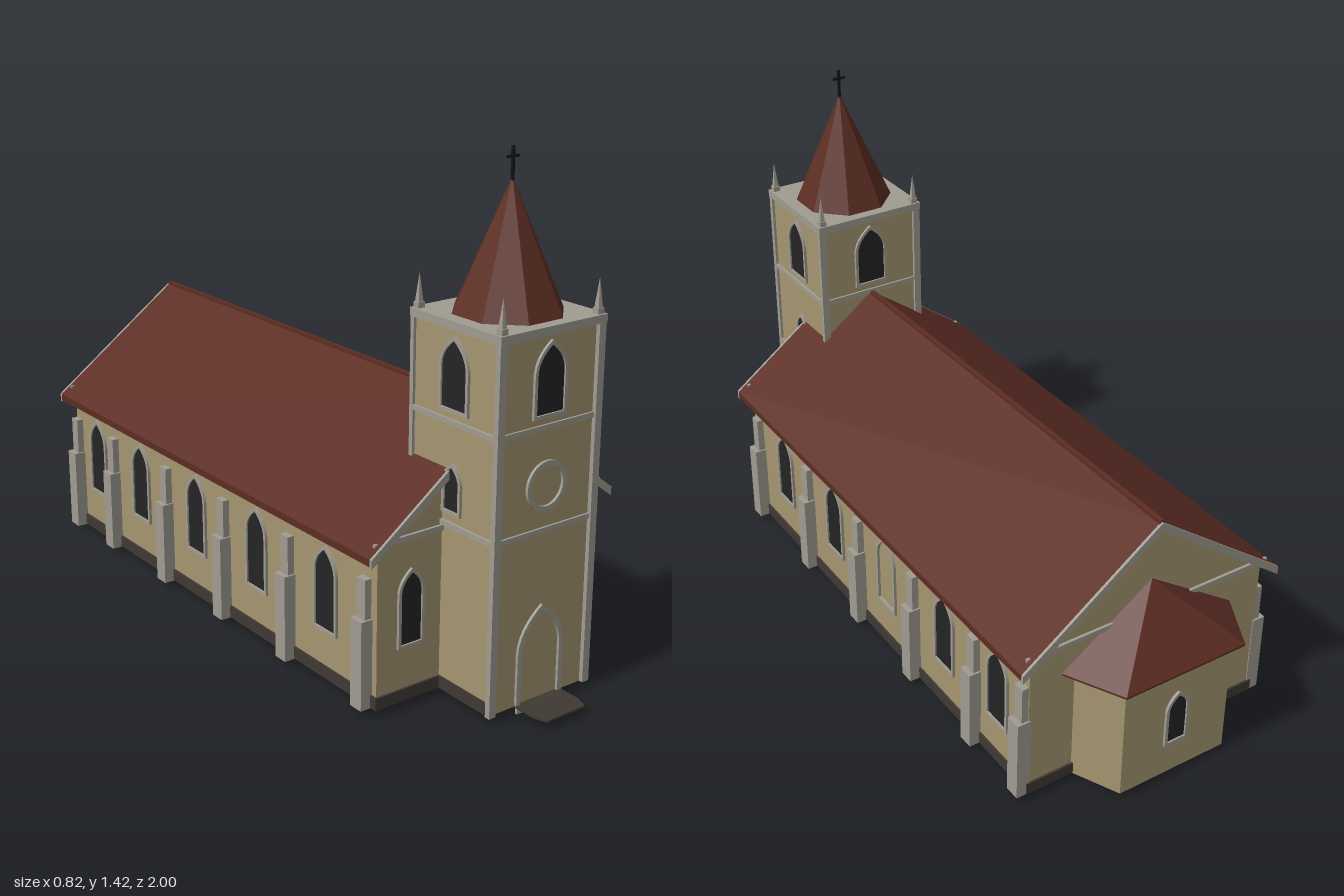
import * as THREE from 'three';
import { ConvexGeometry } from 'three/addons/geometries/ConvexGeometry.js';

const mat = (name, color) => {
  const m = new THREE.MeshStandardMaterial({ color });
  m.name = name;
  return m;
};

export function createModel() {
  const wall = mat('ochre plaster', 0xa59670);
  const stone = mat('grey stone', 0xa09c91);
  const roof = mat('red roof', 0x5c2d23);
  const glass = mat('dark glass', 0x232423);
  const plinth = mat('dark plinth', 0x3f3933);
  const metal = mat('black iron', 0x151515);

  const model = new THREE.Group();
  model.name = 'church';

  const add = (name, geo, material, parent = model) => {
    const m = new THREE.Mesh(geo, material);
    m.name = name;
    parent.add(m);
    return m;
  };
  // box given by its extents
  const box = (name, material, x0, x1, y0, y1, z0, z1) =>
    add(name, new THREE.BoxGeometry(x1 - x0, y1 - y0, z1 - z0), material)
      .position.set((x0 + x1) / 2, (y0 + y1) / 2, (z0 + z1) / 2);
  const shapeOf = (pts) => new THREE.Shape(pts.map(([x, y]) => new THREE.Vector2(x, y)));
  const extrude = (shape, depth) =>
    new THREE.ExtrudeGeometry(shape, { depth, bevelEnabled: false, curveSegments: 8 });
  // outline in x, y pushed along z
  const along = (name, material, pts, z0, z1) =>
    add(name, extrude(shapeOf(pts), z1 - z0), material).position.z = z0;
  // footprint in x, z raised along y
  const footprint = (name, material, pts, y0, y1, hole) => {
    const s = shapeOf(pts.map(([x, z]) => [x, -z]));
    if (hole) s.holes.push(shapeOf(hole.map(([x, z]) => [x, -z])));
    add(name, extrude(s, y1 - y0).rotateX(-Math.PI / 2), material).position.y = y0;
  };
  const rect = (hx, z0, z1) => [[-hx, z0], [hx, z0], [hx, z1], [-hx, z1]];

  // pointed arch outline standing on y = y0
  const arch = (w, h, y0 = 0) => {
    const r = w / 2, top = y0 + h, spring = top - 0.8 * w;
    const s = new THREE.Shape();
    s.moveTo(-r, y0);
    s.lineTo(r, y0);
    s.lineTo(r, spring);
    s.quadraticCurveTo(r, spring + 0.45 * w, 0, top);
    s.quadraticCurveTo(-r, spring + 0.45 * w, -r, spring);
    s.lineTo(-r, y0);
    return s;
  };
  // framed arched opening facing its own +z
  const archWindow = (name, w, h, glazed, x, y, z, turn, t = 0.009, sill = true) => {
    const g = new THREE.Group();
    g.name = name;
    const frame = arch(w, h);
    const y0 = sill ? t : 0.0005;
    frame.holes.push(arch(w - 2 * t, h - y0 - t * 1.3, y0));
    add('frame', extrude(frame, 0.008), stone, g);
    if (glazed) {
      add('pane', new THREE.ShapeGeometry(arch(w - t, h - t, t / 2), 8), glass, g).position.z = 0.003;
    }
    g.position.set(x, y, z);
    g.rotation.y = turn;
    model.add(g);
  };

  // nave body
  const NX = 0.37, NF = 0.70, NB = -0.84;
  along('naveWalls', wall, [[-NX, 0.055], [NX, 0.055], [NX, 0.458], [0, 0.73], [-NX, 0.458]], NB, NF);
  footprint('naveBase', wall, rect(0.37, NB, NF), 0.02, 0.055, rect(0.358, NB + 0.012, NF - 0.012));
  footprint('navePlinth', plinth, rect(0.376, NB - 0.006, NF + 0.006), 0.022, 0.056, rect(NX, NB, NF));
  box('naveFloor', plinth, -0.365, 0.365, 0.048, 0.0545, NB + 0.005, NF - 0.005);

  // nave roof with stone verges at both gables
  const chevron = (t) => [[0.41, 0.45], [0, 0.751], [-0.41, 0.45], [-0.41, 0.45 - t], [0, 0.751 - t], [0.41, 0.45 - t]].reverse();
  along('naveRoof', roof, chevron(0.02), -0.86, 0.72);
  along('frontVerge', stone, chevron(0.025), 0.72, 0.728);
  along('backVerge', stone, chevron(0.025), -0.868, -0.86);
  box('ridgeCap', roof, -0.007, 0.007, 0.742, 0.755, -0.862, 0.6);
  for (const s of [-1, 1]) {
    const a = s * 0.165, b = s * 0.385;
    box('frontGableBelt', stone, Math.min(a, b), Math.max(a, b), 0.462, 0.476, NF, NF + 0.008);
  }
  box('backGableBelt', stone, -0.385, 0.385, 0.462, 0.476, NB - 0.008, NB);

  // buttresses and side windows
  for (const s of [-1, 1]) {
    for (const z of [0.66, 0.33, 0.02, -0.285, -0.595, -0.82]) {
      const step = (name, x, y, w) =>
        box(name, stone, Math.min(s * 0.365, s * x), Math.max(s * 0.365, s * x), 0.02, y, z - w / 2, z + w / 2);
      step('buttressLower', 0.405, 0.265, 0.045);
      step('buttressUpper', 0.39, 0.373, 0.034);
    }
    for (const z of [0.49, 0.175, -0.13, -0.44, -0.70]) {
      archWindow('naveWindow', 0.1, 0.243, !(s > 0 && z === -0.13), s * NX, 0.155, z, s * Math.PI / 2);
    }
    archWindow('frontWindow', 0.084, 0.214, s < 0, s * 0.264, 0.17, NF, 0);
  }

  // tower
  const TX = 0.165, TF = 0.892, TB = 0.583, TZ = 0.738;
  box('towerWalls', wall, -TX, TX, 0.055, 1.0, TB, TF);
  footprint('towerBase', wall, rect(TX, NF, TF), 0.02, 0.055, rect(TX - 0.012, NF + 0.005, TF - 0.012));
  box('towerFloor', plinth, -0.16, 0.16, 0.048, 0.0545, NF, TF - 0.005);
  for (const s of [-1, 1]) {
    const x = s * (TX + 0.002);
    box('towerPlinth', plinth, x - 0.003, x + 0.003, 0.022, 0.056, NF, TF - 0.005);
    for (const [z0, z1, y0] of [[0.888, 0.904, 0.02], [0.574, 0.587, 0.5]]) {
      box('cornerPilaster', stone, s * 0.162 - 0.011, s * 0.162 + 0.011, y0, 0.995, z0, z1);
    }
    for (const z of [0.89, 0.587]) {
      const p = new THREE.ConeGeometry(0.011, 0.08, 4).toNonIndexed();
      p.rotateY(Math.PI / 4);
      p.computeVertexNormals();
      add('pinnacle', p, stone).position.set(s * 0.157, 1.063, z);
      box('pinnacleBase', stone, s * 0.157 - 0.01, s * 0.157 + 0.01, 1.005, 1.027, z - 0.01, z + 0.01);
    }
    archWindow('towerSideWindow', 0.07, 0.135, true, s * TX, 0.515, TZ, s * Math.PI / 2);
    archWindow('belfrySideWindow', 0.108, 0.195, true, s * TX, 0.78, TZ, s * Math.PI / 2);
  }
  for (const y of [0.755, 0.485]) {
    box('towerBelt', stone, -0.173, 0.173, y - 0.007, y + 0.007, TB - 0.006, TF + 0.006);
  }
  box('towerCornice', stone, -0.174, 0.174, 0.99, 1.012, 0.572, 0.906);
  archWindow('belfryFrontWindow', 0.108, 0.195, true, 0, 0.78, TF, 0);
  archWindow('belfryBackWindow', 0.108, 0.195, true, 0, 0.78, TB, Math.PI);

  // round blind window and portal
  const ring = new THREE.Shape().absarc(0, 0, 0.066, 0, Math.PI * 2);
  ring.holes.push(new THREE.Path().absarc(0, 0, 0.053, 0, Math.PI * 2));
  add('roundWindowFrame', new THREE.ExtrudeGeometry(ring, { depth: 0.008, bevelEnabled: false, curveSegments: 24 }), stone)
    .position.set(0, 0.602, TF);
  archWindow('portal', 0.156, 0.262, false, 0, 0.022, TF, 0, 0.014, false);

  // doorstep
  footprint('stepTread', plinth,
    [[-0.078, 0.885], [0.078, 0.885], [0.078, 0.96], [0.065, 1.0], [-0.065, 1.0], [-0.078, 0.96]], 0.018, 0.024);
  box('stepRiser', stone, -0.075, 0.075, 0, 0.018, 0.893, 0.9);

  // spire and cross
  const spire = new THREE.ConeGeometry(0.134 / Math.cos(Math.PI / 8), 0.332, 8).toNonIndexed();
  spire.rotateY(Math.PI / 8);
  spire.computeVertexNormals();
  add('spire', spire, roof).position.set(0, 1.012 + 0.166, TZ);
  box('crossPost', metal, -0.0035, 0.0035, 1.32, 1.418, TZ - 0.0035, TZ + 0.0035);
  box('crossArm', metal, -0.019, 0.019, 1.389, 1.396, TZ - 0.0035, TZ + 0.0035);

  // apse with hipped roof
  footprint('apseWalls', wall, [[-0.235, -0.835], [-0.17, -0.972], [0.17, -0.972], [0.235, -0.835]], 0.02, 0.378);
  const hip = [new THREE.Vector3(0, 0.563, -0.84)];
  for (const s of [-1, 1]) {
    for (const y of [0.37, 0.376]) {
      hip.push(new THREE.Vector3(s * 0.272, y, -0.84), new THREE.Vector3(s * 0.19, y, -1.0));
    }
  }
  add('apseRoof', new ConvexGeometry(hip), roof);
  archWindow('apseWindow', 0.075, 0.17, true, 0, 0.12, -0.972, Math.PI);

  return model;
}
